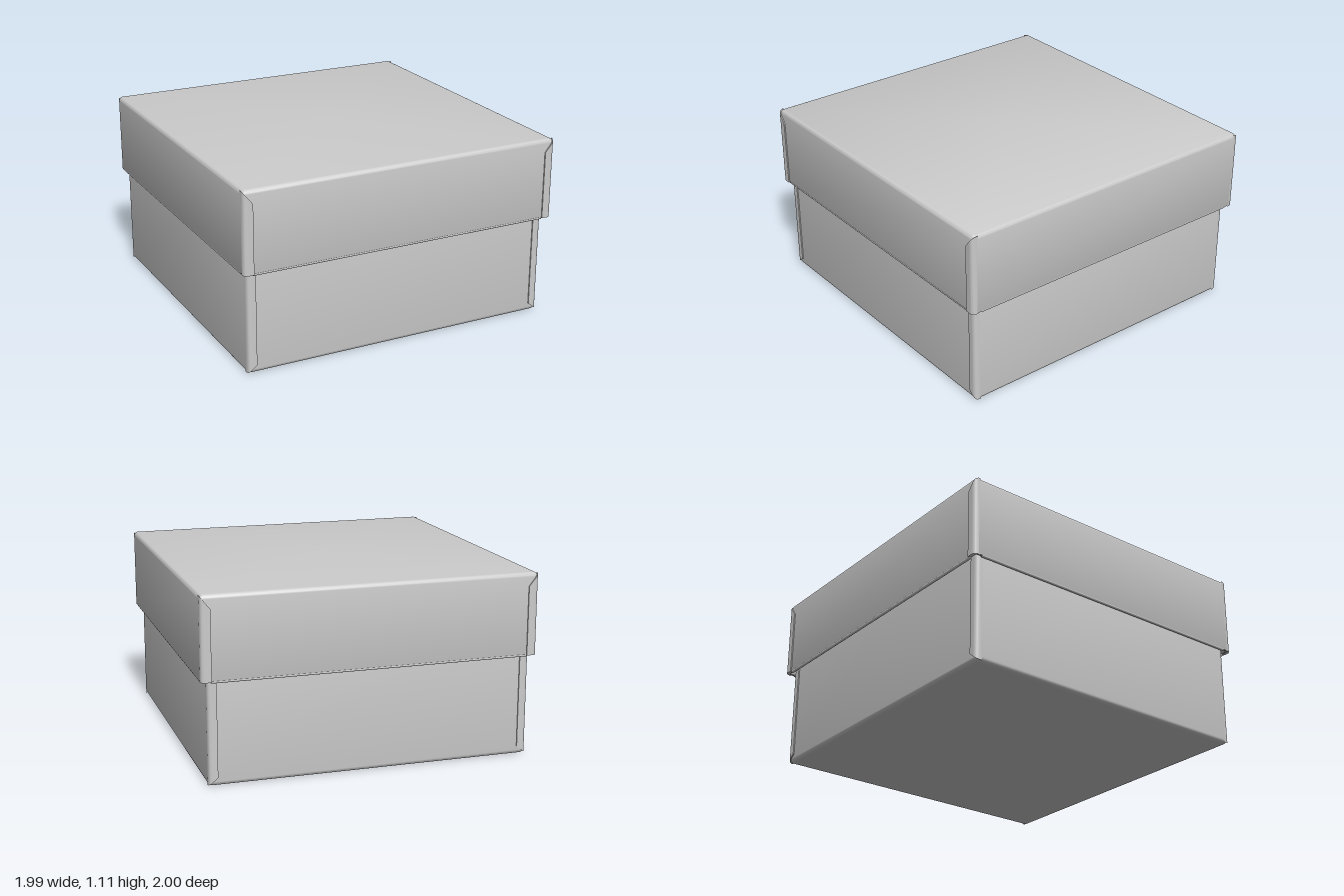
import * as THREE from 'three';
import { toCreasedNormals } from 'three/addons/utils/BufferGeometryUtils.js';

const R = 0.025;   // bend radius of the folded edges
const T = 0.018;   // wall thickness
const SEG = 5;     // segments per bend
const material = new THREE.MeshStandardMaterial({ color: 0xcccccc });

function addMesh(group, geometry, name) {
  const mesh = new THREE.Mesh(geometry, material);
  mesh.name = name;
  group.add(mesh);
  return mesh;
}

// Hollow open tray: rounded-rectangle rings that follow an [inset, y] profile
function shellGeometry(hx, hz, h) {
  const profile = [[null, 0]];
  for (let i = 0; i <= SEG; i++) {
    const a = (i / SEG) * Math.PI / 2;
    profile.push([R - R * Math.sin(a), R - R * Math.cos(a)]);
  }
  for (let i = 0; i <= SEG; i++) {
    const a = (i / SEG) * Math.PI;
    profile.push([T / 2 - T / 2 * Math.cos(a), h - T / 2 + T / 2 * Math.sin(a)]);
  }
  profile.push([T, T], [null, T]);

  const positions = [], indices = [];
  const n = 4 * (SEG + 1);
  for (const [inset, y] of profile) {
    for (let j = 0; j < n; j++) {
      const corner = Math.floor(j / (SEG + 1));
      const a = (corner + (j % (SEG + 1)) / SEG) * Math.PI / 2;
      const sx = corner === 0 || corner === 3 ? 1 : -1;
      const sz = corner < 2 ? 1 : -1;
      if (inset === null) positions.push(0, y, 0);
      else positions.push(
        sx * (hx - R) + (R - inset) * Math.cos(a), y,
        sz * (hz - R) + (R - inset) * Math.sin(a));
    }
  }
  for (let i = 0; i < profile.length - 1; i++) {
    for (let j = 0; j < n; j++) {
      const a = i * n + j, c = i * n + (j + 1) % n;
      indices.push(a, a + n, c, a + n, c + n, c);
    }
  }
  const geometry = new THREE.BufferGeometry();
  geometry.setAttribute('position', new THREE.Float32BufferAttribute(positions, 3));
  geometry.setIndex(indices);
  return toCreasedNormals(geometry, 0.6);
}

// Thin glued flap: a plate with a mitred end, bent round the corner
function flapGeometry(hx, hz, h, width, mitre, side, face) {
  const thick = 0.007;
  const geometry = new THREE.BoxGeometry(1, 1, 1, 12, 1, 1);
  const p = geometry.attributes.position;
  for (let i = 0; i < p.count; i++) {
    const u = p.getX(i) + 0.5;
    const x = hx - width + u * width;
    const low = 0.004 + mitre * (1 - u);
    const over = Math.max(0, x - (hx - R));
    const bend = R - Math.sqrt(Math.max(0, R * R - over * over));
    const z = hz - bend + (p.getZ(i) > 0 ? thick : -thick);
    p.setXYZ(i, side * x, p.getY(i) < 0 ? low : h, face * z);
  }
  // Mirroring one axis reverses the corner order, so swap it back
  if (side * face < 0) geometry.index.array.reverse();
  return toCreasedNormals(geometry, 0.6);
}

function tray(name, hx, hz, h, flapWidth, mitre) {
  const group = new THREE.Group();
  group.name = name;
  addMesh(group, shellGeometry(hx, hz, h), name + 'Shell');
  for (const side of [-1, 1]) {
    for (const face of [-1, 1]) {
      addMesh(group, flapGeometry(hx, hz, h, flapWidth, mitre, side, face), name + 'CornerFlap');
    }
  }
  return group;
}

export function createModel() {
  const model = new THREE.Group();
  model.name = 'liddedBox';

  // Lower box
  const base = tray('base', 0.962, 0.951, 1.06, 0.055, 0.045);
  base.position.x = -0.005;
  model.add(base);

  // Lid: a shallower tray turned upside down
  const hx = 0.997, hz = 0.991, h = 0.49;
  const lid = tray('lid', hx, hz, h, 0.06, 0.075);
  lid.rotation.z = Math.PI;
  lid.position.y = 1.105;
  model.add(lid);

  // Folded hems along the open edge of the lid
  for (const s of [-1, 1]) {
    const frontHem = addMesh(lid, new THREE.CapsuleGeometry(0.009, 1.87, 4, 10), 'lidHem');
    frontHem.rotation.z = Math.PI / 2;
    frontHem.position.set(0, h, s * (hz - 0.009));
    const sideHem = addMesh(lid, new THREE.CapsuleGeometry(0.009, 1.87, 4, 10), 'lidHem');
    sideHem.rotation.x = Math.PI / 2;
    sideHem.position.set(s * (hx - 0.009), h - 0.004, 0);
  }
  return model;
}
